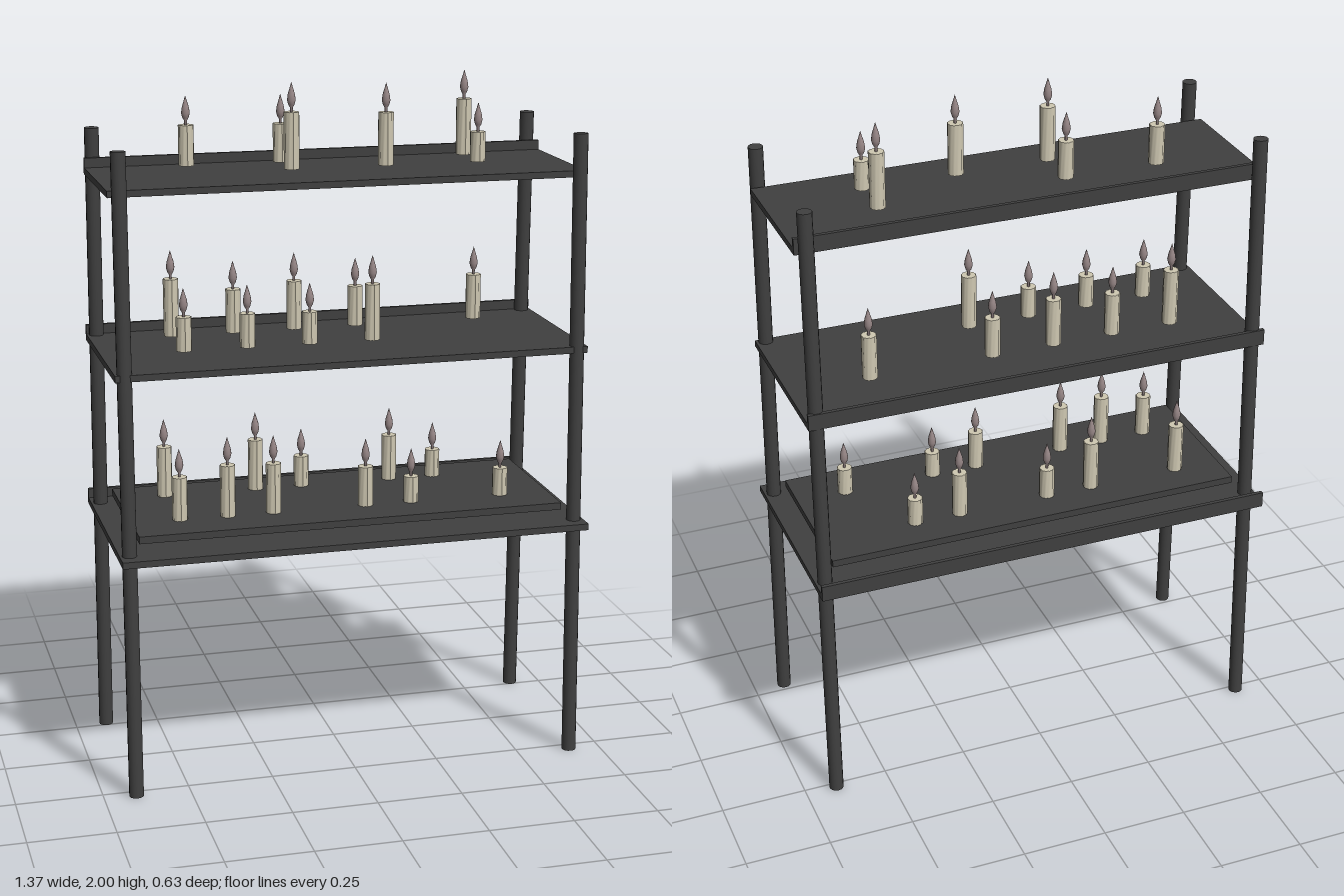
import * as THREE from 'three';

const mat = (name, color, side = THREE.FrontSide) =>
  Object.assign(new THREE.MeshStandardMaterial({ color, side }), { name });

export function createModel() {
  const metal = mat('dark metal', 0x404040);
  const wax = mat('ivory wax', 0xcfc8b2);
  const flameMat = mat('flame', 0x968686);
  const root = new THREE.Group();
  root.name = 'candleShelf';

  const add = (parent, name, geo, material, x, y, z) => {
    const m = new THREE.Mesh(geo, material);
    m.name = name;
    m.position.set(x, y, z);
    parent.add(m);
    return m;
  };
  // box given by half width and y / z ranges
  const slab = (name, hx, y0, y1, z0, z1) =>
    add(root, name, new THREE.BoxGeometry(hx * 2, y1 - y0, z1 - z0), metal, 0, (y0 + y1) / 2, (z0 + z1) / 2);

  // four legs leaning inwards towards the top
  const legGeo = new THREE.CylinderGeometry(0.021, 0.021, 1.85, 14);
  for (const x of [-0.657, 0.657]) {
    for (const [name, zBottom, zTop] of [['frontLeg', 0.28, 0.235], ['backLeg', -0.266, -0.222]]) {
      const leg = add(root, name, legGeo, metal, x, 0.925, (zBottom + zTop) / 2);
      leg.rotation.x = Math.atan2(zTop - zBottom, 1.85);
    }
  }

  // shelves, each with an upright lip along the back edge
  const shelves = [
    ['lower', 0.7, 0.316, -0.314],
    ['middle', 1.22, 0.265, -0.26],
    ['upper', 1.72, 0.208, -0.203],
  ];
  for (const [name, y, zFront, zBack] of shelves) {
    slab(name + 'Shelf', 0.685, y, y + 0.019, zBack, zFront);
    slab(name + 'BackLip', 0.685, y, y + 0.047, zBack, zBack + 0.012);
  }
  // raised tray above the lower shelf
  slab('lowerTray', 0.625, 0.745, 0.766, -0.225, 0.243);

  // fluted wax cylinder of unit height, standing on its base
  const waxGeo = new THREE.CylinderGeometry(0.0225, 0.0225, 1, 24);
  const p = waxGeo.attributes.position;
  for (let i = 0; i < p.count; i++) {
    const a = Math.atan2(p.getZ(i), p.getX(i));
    const s = 0.95 + 0.05 * Math.cos(a * 12);
    p.setXYZ(i, p.getX(i) * s, p.getY(i) + 0.5, p.getZ(i) * s);
  }
  waxGeo.computeVertexNormals();

  // teardrop flame on a thin stem
  const flameGeo = new THREE.LatheGeometry(
    [[0, 0], [0.004, 0], [0.004, 0.012], [0.009, 0.02], [0.0125, 0.033], [0.01, 0.05], [0.005, 0.066], [0, 0.083]]
      .map(([r, y]) => new THREE.Vector2(r, y)), 12);

  // candles per shelf: base height, row offset, then [x, row, top height]
  const rows = [
    ['lower', 0.767, 0.118, [
      [-0.485, -1, 0.918], [-0.485, 1, 0.895], [-0.345, 1, 0.92], [-0.21, 1, 0.915], [-0.21, -1, 0.92],
      [-0.07, -1, 0.86], [0.065, 1, 0.885], [0.203, 1, 0.845], [0.203, -1, 0.905], [0.34, -1, 0.85], [0.477, 1, 0.85]]],
    ['middle', 1.257, 0.095, [
      [-0.46, -1, 1.425], [-0.46, 1, 1.355], [-0.277, -1, 1.385], [-0.277, 1, 1.355], [-0.095, -1, 1.4],
      [-0.095, 1, 1.35], [0.09, 1, 1.42], [0.09, -1, 1.375], [0.455, -1, 1.39]]],
    ['upper', 1.755, 0.067, [
      [-0.413, -1, 1.87], [-0.139, 1, 1.915], [-0.139, -1, 1.865], [0.135, 1, 1.905],
      [0.408, 1, 1.84], [0.408, -1, 1.917]]],
  ];
  for (const [name, base, z, list] of rows) {
    const group = new THREE.Group();
    group.name = name + 'Candles';
    root.add(group);
    for (const [x, row, top] of list) {
      add(group, 'candle', waxGeo, wax, x, base, row * z).scale.y = top - base;
      add(group, 'flame', flameGeo, flameMat, x, top, row * z);
    }
  }
  return root;
}
